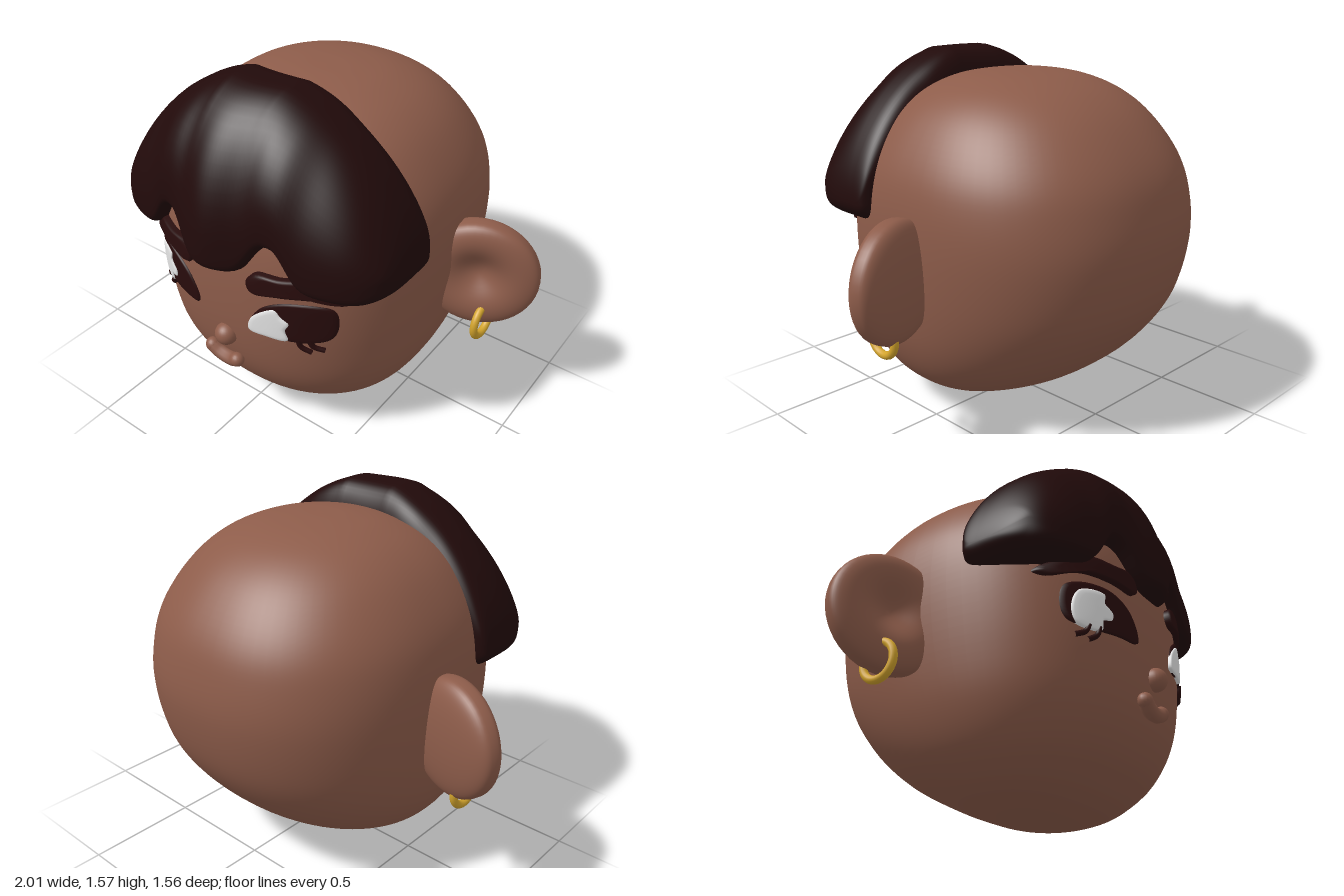
import * as THREE from 'three';
import { mergeVertices } from 'three/addons/utils/BufferGeometryUtils.js';

const material = (name, color) => Object.assign(new THREE.MeshStandardMaterial({ color }), { name });
const V = (x, y, z = 0) => new THREE.Vector3(x, y, z);

// Closed rings joined along their order; (ring order) x (point order) points outwards.
function loft(rings) {
  const n = rings[0].length, index = [];
  for (let i = 0; i < rings.length - 1; i++) {
    for (let j = 0; j < n; j++) {
      const k = (j + 1) % n, a = i * n + j, b = a + n, c = i * n + k, d = c + n;
      index.push(a, b, c, b, d, c);
    }
  }
  const geo = new THREE.BufferGeometry().setFromPoints(rings.flat());
  geo.setIndex(index);
  const merged = mergeVertices(geo, 1e-5);
  merged.computeVertexNormals();
  return merged;
}

const sPow = (v, p) => Math.sign(v) * Math.pow(Math.abs(v), p);
const dome = (v, n) => Math.pow(Math.max(0, 1 - Math.pow(Math.abs(v), n)), 1 / n);

// Head levels: height, half width, front z, back z
const LEVELS = [
  [0, 0, 0.13, 0.13], [0.012, 0.18, 0.26, -0.02], [0.045, 0.32, 0.37, -0.125], [0.1, 0.435, 0.465, -0.25],
  [0.2, 0.545, 0.575, -0.425], [0.35, 0.617, 0.655, -0.59], [0.55, 0.655, 0.69, -0.72],
  [0.8, 0.673, 0.695, -0.777], [1, 0.663, 0.675, -0.76], [1.15, 0.62, 0.625, -0.705],
  [1.3, 0.527, 0.52, -0.592], [1.4, 0.415, 0.39, -0.462], [1.46, 0.28, 0.24, -0.31],
  [1.485, 0.14, 0.1, -0.15], [1.49, 0, -0.02, -0.02],
];
const heightCurve = new THREE.CatmullRomCurve3(LEVELS.map(l => V(l[0], 0)), false, 'catmullrom');
const sizeCurve = new THREE.CatmullRomCurve3(LEVELS.map(l => V(l[1], l[2], l[3])), false, 'catmullrom');

// The cross-section is squarer in front and rounder behind and towards top and chin.
function headLevel(t) {
  const s = sizeCurve.getPoint(t), y = heightCurve.getPoint(t).x;
  const mid = 1 - Math.pow((y - 0.75) / 0.75, 2);
  return { y, w: s.x, c: (s.y + s.z) / 2, d: (s.y - s.z) / 2, front: 2.1 + 0.37 * mid, back: 2.08 + 0.25 * mid };
}

// z of the face surface at a given x and y
function faceZ(x, y) {
  let lo = 0, hi = 1;
  for (let i = 0; i < 30; i++) {
    const mid = (lo + hi) / 2;
    if (heightCurve.getPoint(mid).x < y) lo = mid; else hi = mid;
  }
  const l = headLevel(lo);
  return l.c + l.d * dome(Math.min(1, x / l.w), l.front);
}

function headGeometry() {
  const rings = [], n = 72;
  for (let i = 0; i <= 84; i++) {
    const l = headLevel(i / 84);
    rings.push(Array.from({ length: n }, (_, j) => {
      const a = j / n * Math.PI * 2, p = 2 / (Math.sin(a) > 0 ? l.front : l.back);
      return V(l.w * sPow(Math.cos(a), p), l.y, l.c + l.d * sPow(Math.sin(a), p));
    }));
  }
  return loft(rings);
}

// Fringe: side-on sections lofted from one temple to the other
function hairGeometry() {
  const A = 0.69, rings = [], n = 64, cols = 120;
  for (let i = 0; i <= cols; i++) {
    const x = A * Math.sin((i / cols - 0.5) * Math.PI), u = x / A;
    const e = Math.min(1, Math.max(0, (Math.abs(x) - 0.56) / (A - 0.56)));
    const notch = Math.exp(-Math.pow(Math.abs(Math.abs(x + 0.01) - 0.25) / 0.1, 2.6));
    const top = Math.min(1.565, 0.95 + 0.635 * dome(u, 1.72));
    const bottom = 0.86 + 0.09 * (1 - Math.sqrt(1 - e * e)) + 0.16 * notch;
    const middle = Math.min(bottom + 0.1, (bottom + top) / 2);
    const front = 0.31 + 0.39 * dome(u, 3.4) + 0.08 * Math.exp(-Math.pow((x + 0.03) / 0.15, 2));
    const back = 0.31 - 0.125 * dome(u, 6);
    const crest = back + (front - back) * 0.35;
    rings.push(Array.from({ length: n }, (_, j) => {
      const a = j / n * Math.PI * 2, c = Math.cos(a), s = Math.sin(a);
      const p = s < 0 ? 0.5 : c > 0 ? 1.03 : 0.5;
      return V(x, middle + (s < 0 ? middle - bottom : top - middle) * sPow(s, p),
        crest + (c < 0 ? crest - back : front - crest) * sPow(c, p));
    }));
  }
  return loft(rings);
}

// Thin plate that follows the face, from an outline in x and y
function facePlate(outline, lift, side = 1) {
  const pts = new THREE.CatmullRomCurve3(outline.map(([x, y]) => V(x * side, y)), true).getPoints(56).slice(0, -1);
  if (THREE.ShapeUtils.area(pts) < 0) pts.reverse();
  const mid = pts.reduce((m, p) => m.add(p), V(0, 0)).divideScalar(pts.length);
  const steps = [[0, 1], [0.25, 1], [0.5, 1], [0.75, 1], [0.92, 0.95], [1, 0.7], [1, -0.6]];
  return loft(steps.map(([s, h]) => pts.map(p => {
    const q = mid.clone().lerp(p, s);
    return V(q.x, q.y, faceZ(q.x, q.y) + lift * h);
  })));
}

// Round bar along points on the face
function faceTube(points, radius, lift) {
  const path = new THREE.CatmullRomCurve3(points.map(([x, y]) => V(x, y, faceZ(x, y) + lift)));
  return new THREE.TubeGeometry(path, 16, radius, 10);
}

// Flattened ball with a shallow hollow in its front and a thick root
function earGeometry(side) {
  const geo = new THREE.SphereGeometry(1, 48, 40).rotateX(Math.PI / 2);
  const pos = geo.attributes.position;
  for (let i = 0; i < pos.count; i++) {
    const x = pos.getX(i), y = pos.getY(i), z = pos.getZ(i);
    const hollow = z > 0 ? 0.085 * Math.exp(-Math.pow(Math.hypot(x, y - 0.05) / 0.45, 2)) : 0;
    const thick = 0.093 - 0.012 * x * side;
    pos.setXYZ(i, x * 0.257, y * 0.255, thick * sPow(z, 0.65) - hollow * Math.min(1, z * 2));
  }
  geo.deleteAttribute('uv');
  geo.deleteAttribute('normal');
  const merged = mergeVertices(geo, 1e-5);
  merged.computeVertexNormals();
  return merged;
}

const EYE = [[0.46, 0.785], [0.31, 0.797], [0.2, 0.745], [0.145, 0.66], [0.145, 0.615], [0.25, 0.608],
  [0.39, 0.61], [0.46, 0.635], [0.48, 0.72]];
const BROW = [[0.55, 0.83], [0.48, 0.89], [0.39, 0.923], [0.28, 0.915], [0.18, 0.912], [0.145, 0.87],
  [0.16, 0.825], [0.28, 0.835], [0.42, 0.84], [0.52, 0.81]];
// Both eyes look towards the model's left, so the whites differ
const WHITE_RIGHT = [[-0.445, 0.727], [-0.42, 0.765], [-0.325, 0.765], [-0.328, 0.727], [-0.29, 0.69],
  [-0.297, 0.66], [-0.335, 0.65], [-0.34, 0.607], [-0.43, 0.617], [-0.45, 0.66]];
const WHITE_LEFT = [[0.14, 0.615], [0.15, 0.675], [0.2, 0.727], [0.26, 0.757], [0.285, 0.727],
  [0.315, 0.7], [0.3, 0.663], [0.308, 0.612], [0.22, 0.608]];

export function createModel() {
  const group = new THREE.Group();
  const skin = material('skin', 0x8d5c4a), hair = material('hair', 0x210a0a);
  const dark = material('brow and eye', 0x280c0c), white = material('eye white', 0xe6e6e6);
  const gold = material('gold', 0xd3a42c);
  const add = (name, geo, mat, x = 0, y = 0, z = 0) => {
    const mesh = new THREE.Mesh(geo, mat);
    mesh.name = name;
    mesh.position.set(x, y, z);
    group.add(mesh);
    return mesh;
  };

  add('head', headGeometry(), skin);
  add('fringe', hairGeometry(), hair);

  // Nose and smirk
  add('nose', new THREE.SphereGeometry(0.05, 24, 18), skin, 0, 0.51, 0.69);
  const smile = [[-0.095, 0.393], [-0.06, 0.371], [-0.02, 0.362], [0.02, 0.366], [0.043, 0.378]];
  add('mouth', faceTube(smile, 0.032, 0.02), skin);
  for (const [x, y] of [smile[0], smile[4]]) {
    add('mouthCorner', new THREE.SphereGeometry(0.032, 16, 12), skin, x, y, faceZ(x, y) + 0.02);
  }

  for (const side of [-1, 1]) {
    const label = side > 0 ? 'left' : 'right';
    add(label + 'Eye', facePlate(EYE, 0.01, side), dark);
    add(label + 'EyeWhite', facePlate(side > 0 ? WHITE_LEFT : WHITE_RIGHT, 0.017), white);
    add(label + 'Brow', facePlate(BROW, 0.03, side), dark);
    for (const lash of [[[0.385, 0.62], [0.4, 0.59], [0.435, 0.572]], [[0.345, 0.62], [0.355, 0.585], [0.39, 0.558]]]) {
      add(label + 'Lash', faceTube(lash.map(([x, y]) => [x * side, y]), 0.011, 0.006), dark);
    }

    // Ear and hoop
    add(label + 'Ear', earGeometry(side), skin, 0.757 * side, 0.715, -0.08).rotation.y = 0.33 * side;
    add(label + 'Earring', new THREE.TorusGeometry(0.077, 0.017, 14, 40), gold, 0.81 * side, 0.49, -0.06)
      .rotation.y = Math.PI / 2;
  }
  return group;
}
